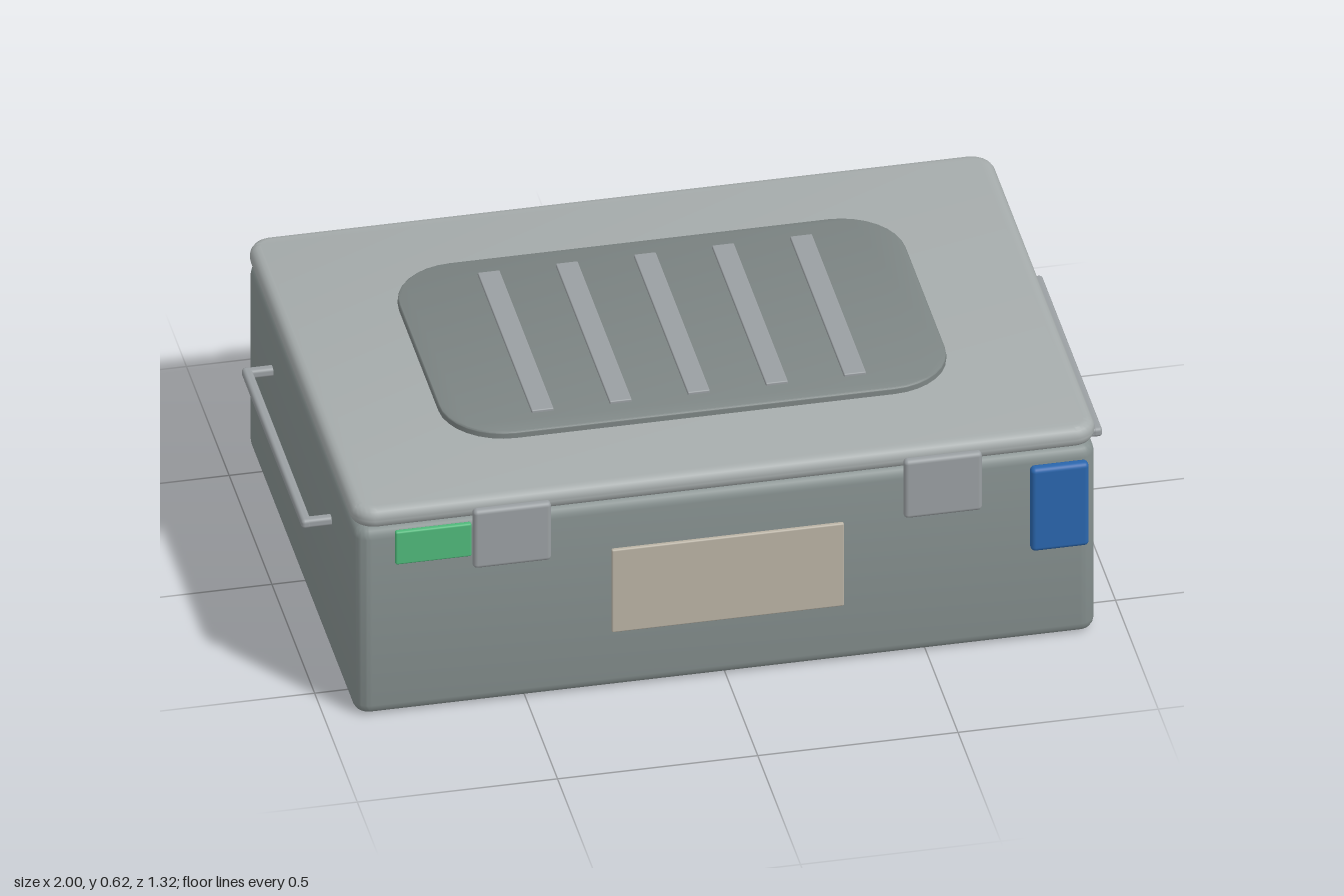
import * as THREE from 'three';
import { toCreasedNormals } from 'three/addons/utils/BufferGeometryUtils.js';
import { RoundedBoxGeometry } from 'three/addons/geometries/RoundedBoxGeometry.js';

const paint = (color) => new THREE.MeshStandardMaterial({ color });
const shellGrey = paint(0x858f8e);
const lidGrey = paint(0xa6acac);
const metalGrey = paint(0x9a9fa2);
const panelGrey = paint(0x7d8584);

// Horizontal slab: rounded rectangle in plan, with bevelled top and bottom edges
function slab(w, h, d, radius, bevel, curveSegments = 6) {
  const x = w / 2, y = d / 2, r = radius;
  const s = new THREE.Shape();
  s.absarc(x - r, y - r, r, 0, Math.PI / 2);
  s.absarc(r - x, y - r, r, Math.PI / 2, Math.PI);
  s.absarc(r - x, r - y, r, Math.PI, Math.PI * 1.5);
  s.absarc(x - r, r - y, r, Math.PI * 1.5, Math.PI * 2);
  const g = new THREE.ExtrudeGeometry(s, {
    depth: h - 2 * bevel, bevelSize: bevel, bevelThickness: bevel,
    bevelOffset: -bevel, bevelSegments: 4, curveSegments,
  });
  g.translate(0, 0, bevel - h / 2).rotateX(-Math.PI / 2);
  return toCreasedNormals(g, 0.6);
}

export function createModel() {
  const model = new THREE.Group();
  model.name = 'storageCase';

  const add = (name, geometry, material, x, y, z, parent = model) => {
    const mesh = new THREE.Mesh(geometry, material);
    mesh.name = name;
    mesh.position.set(x, y, z);
    parent.add(mesh);
    return mesh;
  };
  const rounded = (w, h, d, r) => new RoundedBoxGeometry(w, h, d, 3, r);
  const cz = -0.002; // centre of the case in depth

  // Shell and lid
  add('body', slab(1.85, 0.542, 1.266, 0.04, 0.03), shellGrey, 0, 0.271, cz);
  add('lid', slab(1.86, 0.057, 1.276, 0.06, 0.026), lidGrey, 0, 0.57, cz);

  // Raised panel on the lid with five ribs
  add('lidPanel', slab(1.265, 0.03, 0.778, 0.16, 0.006, 4), panelGrey, 0, 0.602, -0.004);
  const ribs = new THREE.Group();
  ribs.name = 'lidRibs';
  for (let i = -2; i <= 2; i++) {
    add('lidRib', rounded(0.055, 0.014, 0.635, 0.003), metalGrey, i * 0.195, 0.617, -0.006, ribs);
  }
  model.add(ribs);

  // Latches in front, matching hinges behind
  for (const side of [-1, 1]) {
    for (const [name, z] of [['frontLatch', 0.641], ['rearHinge', -0.645]]) {
      add(name, rounded(0.195, 0.168, 0.026, 0.011), metalGrey, side * 0.538, 0.491, z);
    }
  }

  // Carrying handles: a bar held by two posts
  for (const side of [-1, 1]) {
    const handle = new THREE.Group();
    handle.name = side > 0 ? 'leftHandle' : 'rightHandle';
    add('handleBar', rounded(0.025, 0.025, 0.71, 0.009), metalGrey, side * 0.9875, 0.393, -0.004, handle);
    for (const end of [-1, 1]) {
      add('handlePost', rounded(0.085, 0.024, 0.024, 0.008), metalGrey,
        side * 0.955, 0.393, end * 0.342 - 0.004, handle);
    }
    model.add(handle);
  }

  // Front plates
  add('label', rounded(0.58, 0.24, 0.012, 0.004), paint(0xb9b2a4), 0, 0.296, 0.647);
  add('greenTag', rounded(0.19, 0.095, 0.015, 0.005), paint(0x4fb87a), -0.735, 0.493, 0.645);
  add('blueTag', rounded(0.145, 0.24, 0.03, 0.012), paint(0x2a66ad), 0.828, 0.394, 0.648);

  return model;
}
